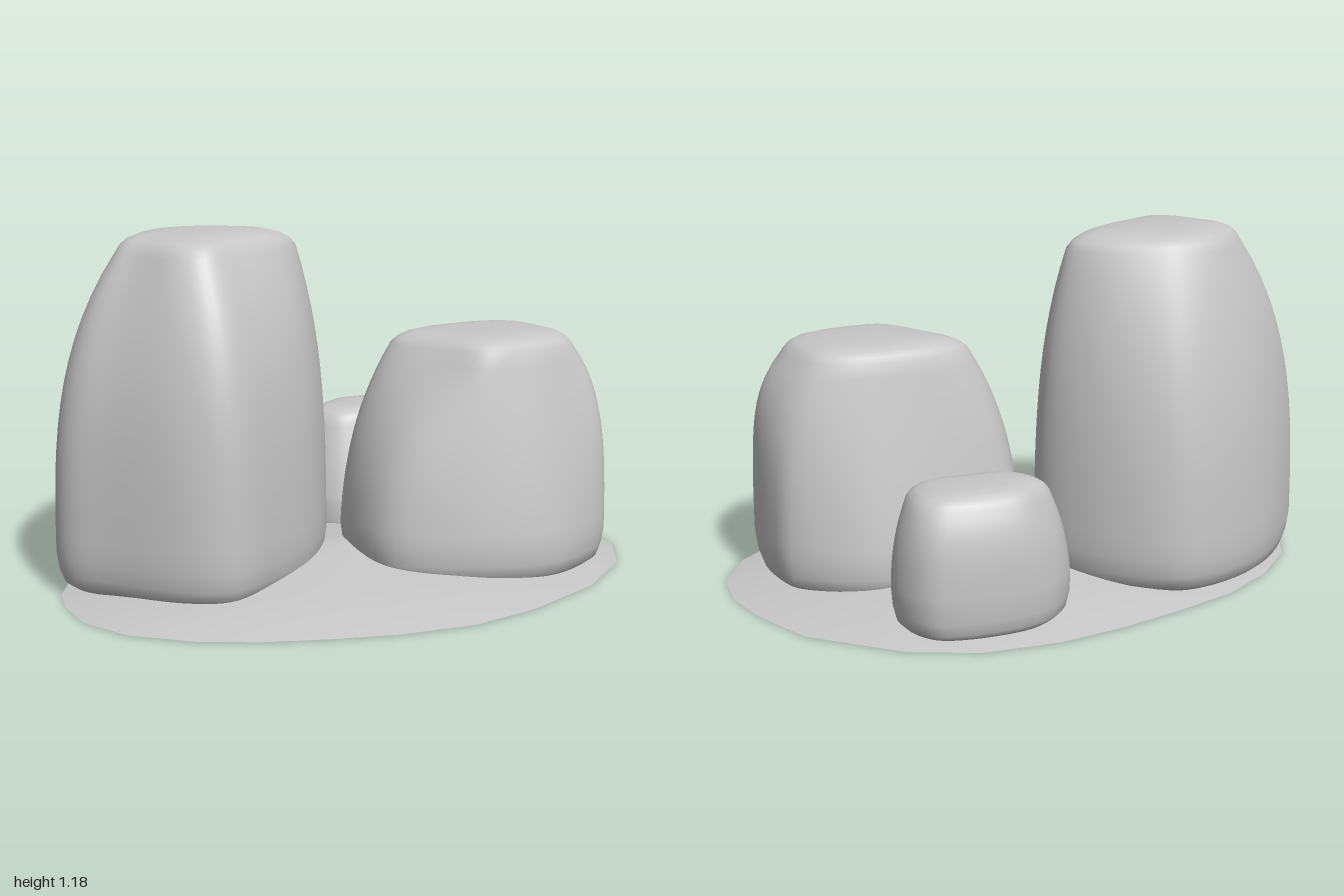
import * as THREE from 'three';

const stone = new THREE.MeshStandardMaterial({ color: 0xc7c7c7 });
stone.name = 'stone';

// Closed skin over rings of equal point count, listed from bottom to top
function loft(rings) {
  const n = rings[0].length;
  const index = [];
  for (let i = 0; i < rings.length - 1; i++) {
    for (let j = 0; j < n; j++) {
      const a = i * n + j, c = i * n + (j + 1) % n;
      index.push(a, a + n, c, c, a + n, c + n);
    }
  }
  const geo = new THREE.BufferGeometry().setFromPoints(rings.flat());
  geo.setIndex(index);
  geo.computeVertexNormals();
  return geo;
}

function scaleRing(ring, k, y) {
  const c = new THREE.Vector3();
  ring.forEach(p => c.addScaledVector(p, 1 / ring.length));
  return ring.map(p => new THREE.Vector3(c.x + (p.x - c.x) * k, y, c.z + (p.z - c.z) * k));
}

// Corners are [x, z, top x, top z, bulge]; a larger bulge keeps the side upright for longer
function rock(name, shoulder, top, corners) {
  const ringAt = (y) => {
    const pts = corners.map(([x, z, tx, tz, bulge]) => {
      const t = Math.pow(y / shoulder, bulge);
      return new THREE.Vector3(x + (tx - x) * t, y, z + (tz - z) * t);
    });
    return new THREE.CatmullRomCurve3(pts, true, 'centripetal').getPoints(72).slice(0, -1);
  };
  const rings = [];
  // Tucked-in foot
  for (const [k, y] of [[0, 0.02], [0.88, 0.02], [0.945, 0.04], [0.98, 0.08]]) {
    rings.push(scaleRing(ringAt(y), k, y));
  }
  // Sides
  for (let i = 0; i <= 14; i++) rings.push(ringAt(0.14 + (shoulder - 0.14) * i / 14));
  // Rounded crown
  const rim = ringAt(shoulder), rise = top - shoulder;
  for (const [k, f] of [[0.94, 0.38], [0.85, 0.66], [0.7, 0.88], [0.45, 0.97], [0.2, 1], [0, 1]]) {
    rings.push(scaleRing(rim, k, shoulder + rise * f));
  }
  const mesh = new THREE.Mesh(loft(rings), stone);
  mesh.name = name;
  return mesh;
}

// Shallow mound with a flat underside
function mound() {
  const outline = [
    [1, 0], [0.99, 0.17], [0.89, 0.35], [0.67, 0.53], [0.37, 0.66], [0.13, 0.71],
    [-0.13, 0.69], [-0.33, 0.64], [-0.55, 0.57], [-0.73, 0.48], [-0.9, 0.34], [-0.99, 0.17],
    [-1, 0], [-0.98, -0.12], [-0.9, -0.28], [-0.75, -0.43], [-0.55, -0.55], [-0.33, -0.62],
    [-0.1, -0.68], [0.13, -0.715], [0.39, -0.7], [0.6, -0.61], [0.86, -0.38], [0.96, -0.16],
  ];
  const levels = [[1, 0], [0.8, 0.033], [0.6, 0.053], [0.4, 0.07], [0.2, 0.088], [0.06, 0.098], [0, 0.1]];
  const rings = levels.map(([k, y]) => outline.map(([x, z]) => new THREE.Vector3(x * k, y, z * k)));
  const group = new THREE.Group();
  group.name = 'mound';
  const surface = new THREE.Mesh(loft(rings), stone);
  surface.name = 'moundSurface';
  const shape = new THREE.Shape(outline.map(([x, z]) => new THREE.Vector2(x, z)));
  const underside = new THREE.Mesh(new THREE.ShapeGeometry(shape).rotateX(Math.PI / 2), stone);
  underside.name = 'moundUnderside';
  group.add(surface, underside);
  return group;
}

export function createModel() {
  const group = new THREE.Group();
  group.name = 'standingStones';
  group.add(mound());

  group.add(rock('tallRock', 1.12, 1.185, [
    [-0.015, -0.17, -0.12, -0.15, 3.4], [-0.12, 0.06, -0.2, -0.04, 3.6],
    [-0.35, 0.24, -0.4, 0.07, 3.8], [-0.53, 0.325, -0.54, 0.13, 3.8],
    [-0.67, 0.27, -0.63, 0.08, 3.6], [-0.87, 0.06, -0.71, -0.06, 3.5],
    [-0.97, -0.07, -0.75, -0.13, 3.5], [-0.975, -0.18, -0.74, -0.19, 3.5],
    [-0.85, -0.355, -0.68, -0.27, 3.2], [-0.68, -0.49, -0.57, -0.36, 2.8],
    [-0.45, -0.565, -0.46, -0.385, 2.7], [-0.32, -0.55, -0.36, -0.37, 2.7],
    [-0.12, -0.39, -0.18, -0.26, 3],
  ]));

  group.add(rock('middleRock', 0.78, 0.83, [
    [0.86, 0.03, 0.73, 0, 6], [0.87, 0.2, 0.76, 0.16, 7],
    [0.83, 0.35, 0.74, 0.25, 4], [0.7, 0.44, 0.67, 0.31, 2],
    [0.52, 0.49, 0.5, 0.345, 1.6], [0.22, 0.41, 0.35, 0.33, 1.6],
    [0.02, 0.26, 0.24, 0.17, 2.4], [0, -0.02, 0.17, 0.01, 2.8],
    [0.05, -0.13, 0.21, -0.05, 2.2], [0.2, -0.19, 0.32, -0.085, 1.5],
    [0.56, -0.23, 0.58, -0.095, 1.3], [0.82, -0.08, 0.69, -0.05, 3.5],
  ]));

  group.add(rock('smallRock', 0.425, 0.475, [
    [0.595, -0.45, 0.54, -0.46, 4], [0.52, -0.295, 0.5, -0.355, 2],
    [0.27, -0.215, 0.3, -0.345, 1.1], [0.13, -0.235, 0.16, -0.355, 1.2],
    [0.03, -0.36, 0.1, -0.41, 2], [0, -0.48, 0.08, -0.49, 2.5],
    [0.08, -0.6, 0.14, -0.56, 3], [0.22, -0.66, 0.22, -0.615, 5],
    [0.5, -0.64, 0.47, -0.6, 5], [0.57, -0.57, 0.53, -0.55, 5],
  ]));
  return group;
}
